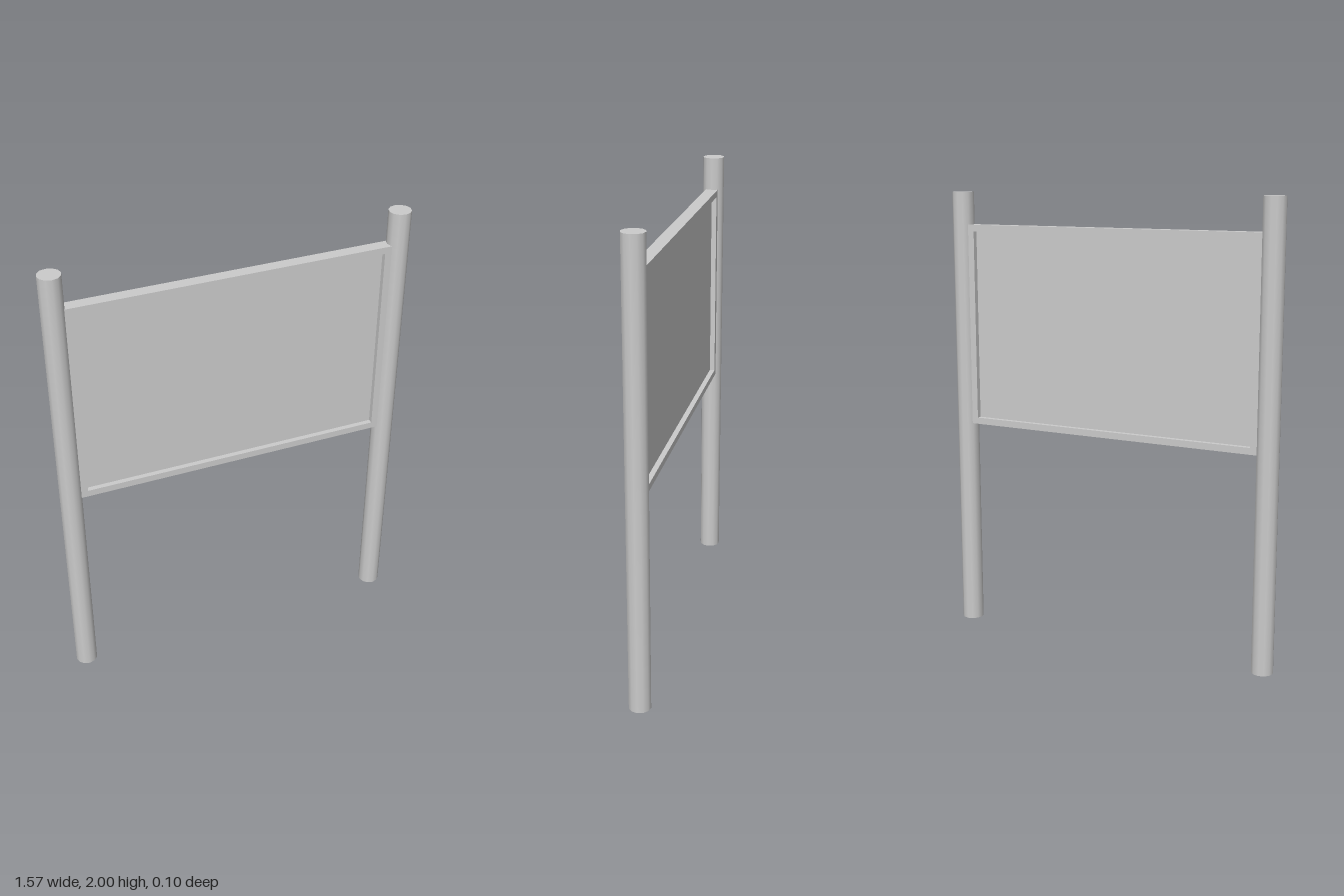
import * as THREE from 'three';

const material = new THREE.MeshStandardMaterial({ color: 0xcccccc, side: THREE.DoubleSide });

function add(parent, name, geometry, x, y, z) {
  const mesh = new THREE.Mesh(geometry, material);
  mesh.name = name;
  mesh.position.set(x, y, z);
  parent.add(mesh);
  return mesh;
}

export function createModel() {
  const group = new THREE.Group();
  group.name = 'signBoard';

  // Round posts: hollow at the foot, closed at the top
  const radius = 0.048, sides = 12, height = 2;
  for (const [side, s] of [['left', 1], ['right', -1]]) {
    const post = new THREE.Group();
    post.name = side + 'Post';
    post.position.x = s * 0.735;
    add(post, 'shaft', new THREE.CylinderGeometry(radius, radius, height, sides, 1, true), 0, height / 2, 0);
    add(post, 'topCap', new THREE.CircleGeometry(radius, sides).rotateX(-Math.PI / 2), 0, height, 0);
    group.add(post);
  }

  // Rectangular frame with an opening, its ends set slightly into the posts
  const w = 1.39, h = 0.905, border = 0.029, depth = 0.055, midY = 1.404;
  const rectangle = (path, a, b) =>
    path.moveTo(-a, -b).lineTo(a, -b).lineTo(a, b).lineTo(-a, b).closePath();
  const outline = rectangle(new THREE.Shape(), w / 2, h / 2);
  outline.holes.push(rectangle(new THREE.Path(), w / 2 - border, h / 2 - border));
  const frame = new THREE.ExtrudeGeometry(outline, { depth, bevelEnabled: false });
  add(group, 'frame', frame.translate(0, 0, -depth / 2), 0, midY, 0);

  // Thin panel recessed on both faces
  add(group, 'panel', new THREE.BoxGeometry(w - 2 * border, h - 2 * border, 0.01), 0, midY, 0);

  return group;
}
